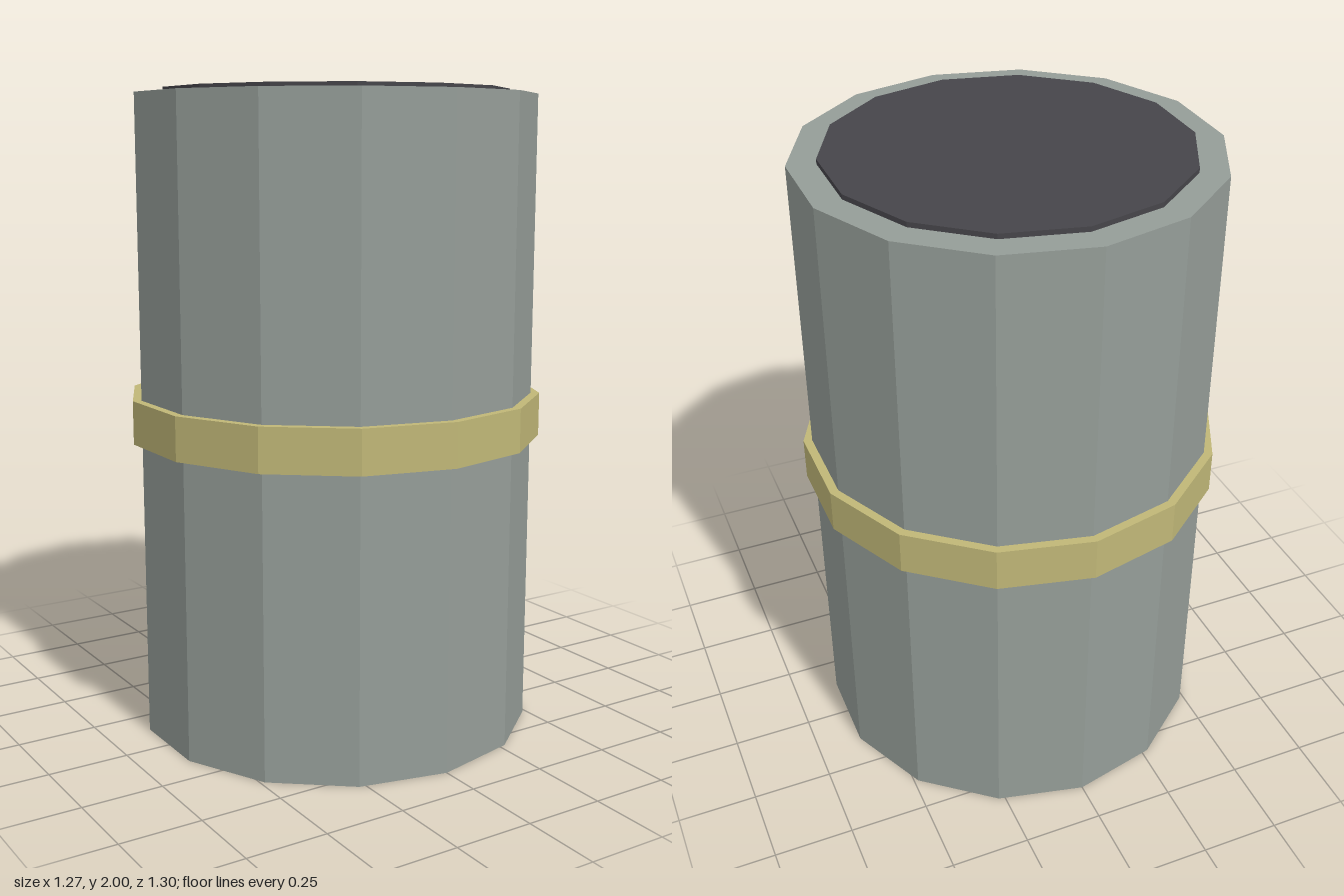
import * as THREE from 'three';

const SIDES = 14;

function flat(name, color) {
  const material = new THREE.MeshStandardMaterial({ color, flatShading: true });
  material.name = name;
  return material;
}

export function createModel() {
  const grey = flat('greenish grey', 0x959d98);
  const gold = flat('dull gold', 0xc0b777);
  const dark = flat('charcoal', 0x46454a);

  const group = new THREE.Group();
  group.name = 'canister';
  const add = (name, geometry, material) => {
    const mesh = new THREE.Mesh(geometry, material);
    mesh.name = name;
    group.add(mesh);
  };
  const drum = (radius, bottom, top) =>
    new THREE.CylinderGeometry(radius, radius, top - bottom, SIDES)
      .translate(0, (bottom + top) / 2, 0);

  // Main body
  add('body', drum(0.623, 0, 1.985), grey);

  // Thin lid plate on top
  add('lid', drum(0.537, 1.985, 2), dark);

  // Raised band around the middle: bottom, outer and top faces
  const profile = [[0.623, 0.93], [0.65, 0.93], [0.65, 1.065], [0.623, 1.065]]
    .map(([r, y]) => new THREE.Vector2(r, y));
  add('band', new THREE.LatheGeometry(profile, SIDES), gold);

  return group;
}
